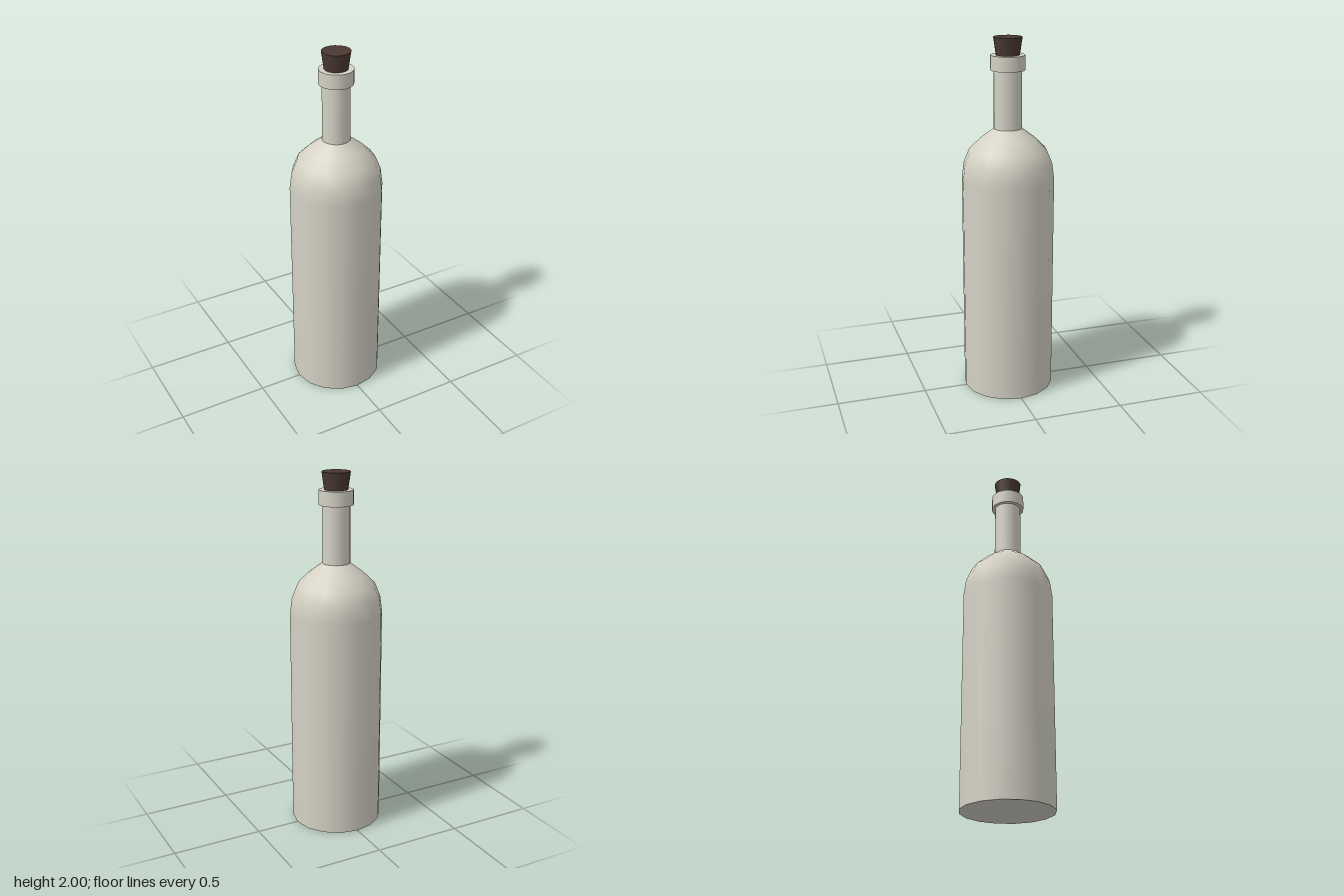
import * as THREE from 'three';

const SIDES = 16;

export function createModel() {
  const group = new THREE.Group();
  const glass = new THREE.MeshStandardMaterial({ color: 0xd4d1c4 });
  glass.name = 'pale glass';
  const cork = new THREE.MeshStandardMaterial({ color: 0x4a3832 });
  cork.name = 'dark cork';

  const add = (name, geometry, material, y = 0) => {
    const mesh = new THREE.Mesh(geometry, material);
    mesh.name = name;
    mesh.position.y = y;
    group.add(mesh);
  };
  // Upright capped cylinder between two heights
  const ring = (name, rBottom, rTop, y0, y1, material) =>
    add(name, new THREE.CylinderGeometry(rTop, rBottom, y1 - y0, SIDES), material, (y0 + y1) / 2);

  // Straight body rounding into the shoulder
  const profile = [
    [0.255, 0], [0.255, 1.23], [0.243, 1.32], [0.212, 1.395], [0.15, 1.455], [0.077, 1.51],
  ].map(([r, y]) => new THREE.Vector2(r, y));
  add('body', new THREE.LatheGeometry(profile, SIDES), glass);

  // Flat underside
  const base = new THREE.CircleGeometry(0.255, SIDES);
  base.rotateX(Math.PI / 2);
  add('base', base, glass);

  ring('neck', 0.077, 0.075, 1.505, 1.84, glass);
  ring('lip', 0.094, 0.094, 1.825, 1.905, glass);
  ring('stopper', 0.062, 0.078, 1.89, 2, cork);
  return group;
}
